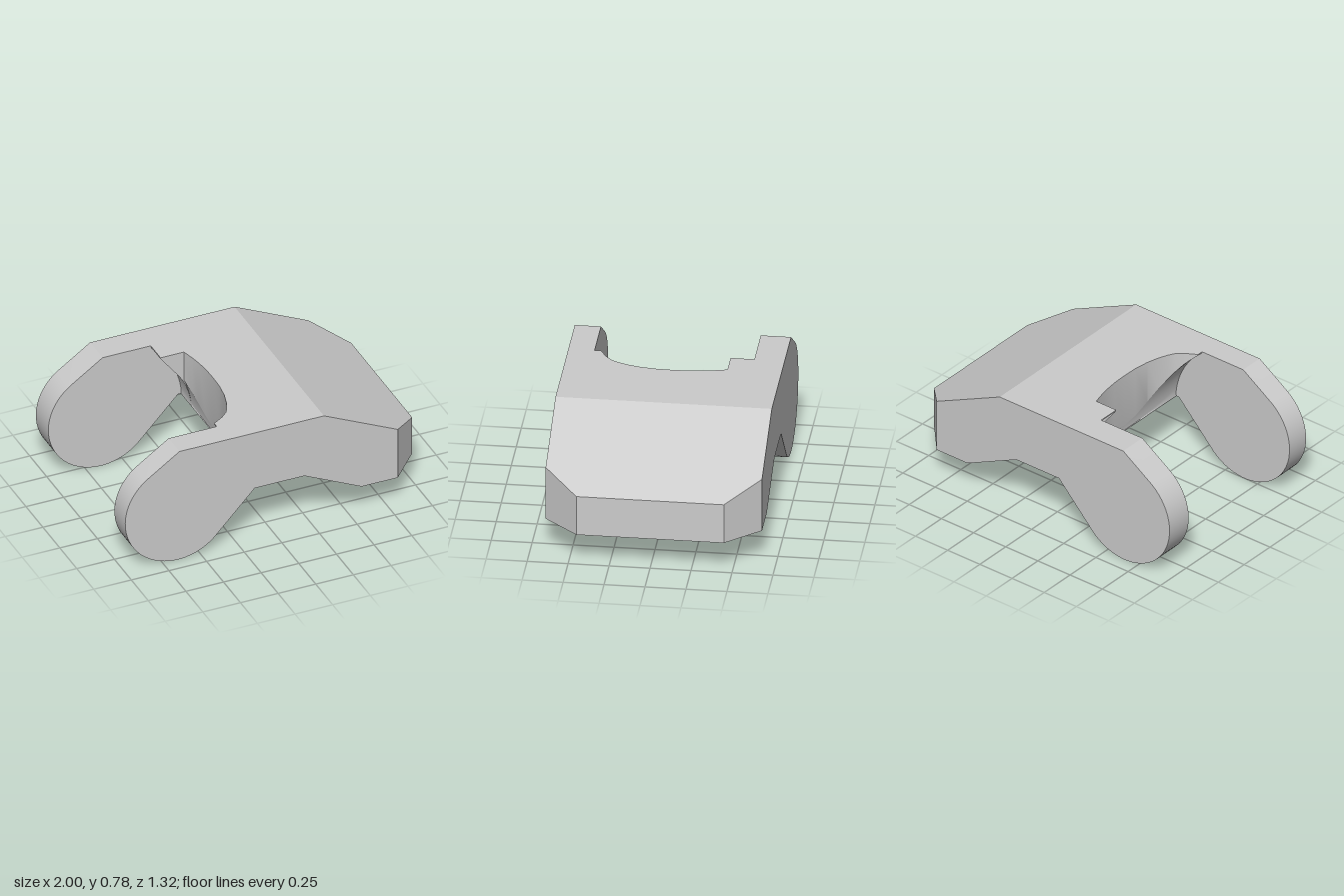
import * as THREE from 'three';
import { toCreasedNormals } from 'three/addons/utils/BufferGeometryUtils.js';

const HALF = 0.66;                       // half width
const PIVOT = { x: -0.65, y: 0.35 };     // centre of the rounded arm ends
const ARM_R = 0.35, CLEAR_R = 0.535;     // arm end radius, clearance radius

const polar = (r, a) => [PIVOT.x + r * Math.cos(a), PIVOT.y + r * Math.sin(a)];

// Nose and top shared by every cross-section; the nose corners are chamfered
function nose(z) {
  const x = 1 - Math.max(0, Math.abs(z) - 0.45) * (0.19 / 0.21);
  const top = 0.78 - (x - 0.32) * (0.32 / 0.68);
  return [[0.19, 0.38], [0.57, 0.2], [x, 0.2], [x, top], [0.32, 0.78]];
}

// Arm section: full side profile with round end
function armSection(z) {
  const pts = [[-0.14, 0.38], ...nose(z), [-0.64, 0.78]];
  const a0 = THREE.MathUtils.degToRad(127), a1 = THREE.MathUtils.degToRad(313);
  for (let i = 0; i <= 32; i++) pts.push(polar(ARM_R, a0 + (a1 - a0) * i / 32));
  return { z, pts };
}

// Middle section: upright wall at xCut, then the concave clearance arc
function bodySection(z, xCut) {
  const pts = [[-0.12, 0.38], ...nose(z), [xCut, 0.78]];
  const end = Math.asin(0.03 / CLEAR_R);
  const start = Math.max(Math.acos(Math.min(1, (xCut - PIVOT.x) / CLEAR_R)), end + 0.02);
  for (let i = 0; i < 16; i++) pts.push(polar(CLEAR_R, start + (end - start) * i / 16));
  return { z, pts };
}

// Skin sections of equal point count along +z and cap both ends
function loft(sections) {
  const pos = [];
  const a = new THREE.Vector3(), b = new THREE.Vector3();
  const tri = (p, q, r) => {
    a.set(q[0] - p[0], q[1] - p[1], q[2] - p[2]);
    b.set(r[0] - p[0], r[1] - p[1], r[2] - p[2]);
    if (a.cross(b).length() > 1e-9) pos.push(...p, ...q, ...r);
  };
  const rings = sections.map(s => s.pts.map(p => [p[0], p[1], s.z]));
  const n = rings[0].length;
  for (let k = 0; k < rings.length - 1; k++) {
    for (let i = 0; i < n; i++) {
      const j = (i + 1) % n, lo = rings[k], hi = rings[k + 1];
      tri(lo[i], lo[j], hi[j]);
      tri(lo[i], hi[j], hi[i]);
    }
  }
  [rings[0], rings[rings.length - 1]].forEach((ring, end) => {
    const flat = ring.map(p => new THREE.Vector2(p[0], p[1]));
    for (const [i, j, k] of THREE.ShapeUtils.triangulateShape(flat, [])) {
      if (end) tri(ring[i], ring[j], ring[k]);
      else tri(ring[i], ring[k], ring[j]);
    }
  });
  const geo = new THREE.BufferGeometry();
  geo.setAttribute('position', new THREE.Float32BufferAttribute(pos, 3));
  return toCreasedNormals(geo, 0.35);
}

export function createModel() {
  const group = new THREE.Group();
  const material = new THREE.MeshStandardMaterial({ color: 0xcccccc });
  const add = (name, sections) => {
    const mesh = new THREE.Mesh(loft(sections), material);
    mesh.name = name;
    group.add(mesh);
  };

  // Side arms, slightly different in thickness
  add('frontArm', [armSection(0.5), armSection(HALF)]);
  add('backArm', [armSection(-HALF), armSection(-0.475)]);

  // Middle block: [z, x of the cut edge], stepped at the back
  const cut = [
    [-0.475, -0.32], [-0.45, -0.32], [-0.33, -0.32], [-0.33, -0.165],
    [-0.25, -0.145], [-0.18, -0.132], [-0.1, -0.123], [0, -0.12], [0.1, -0.123],
    [0.2, -0.136], [0.28, -0.158], [0.34, -0.182], [0.38, -0.205],
    [0.42, -0.25], [0.45, -0.3], [0.46, -0.32], [0.5, -0.32],
  ];
  add('middleBlock', cut.map(([z, x]) => bodySection(z, x)));

  return group;
}
